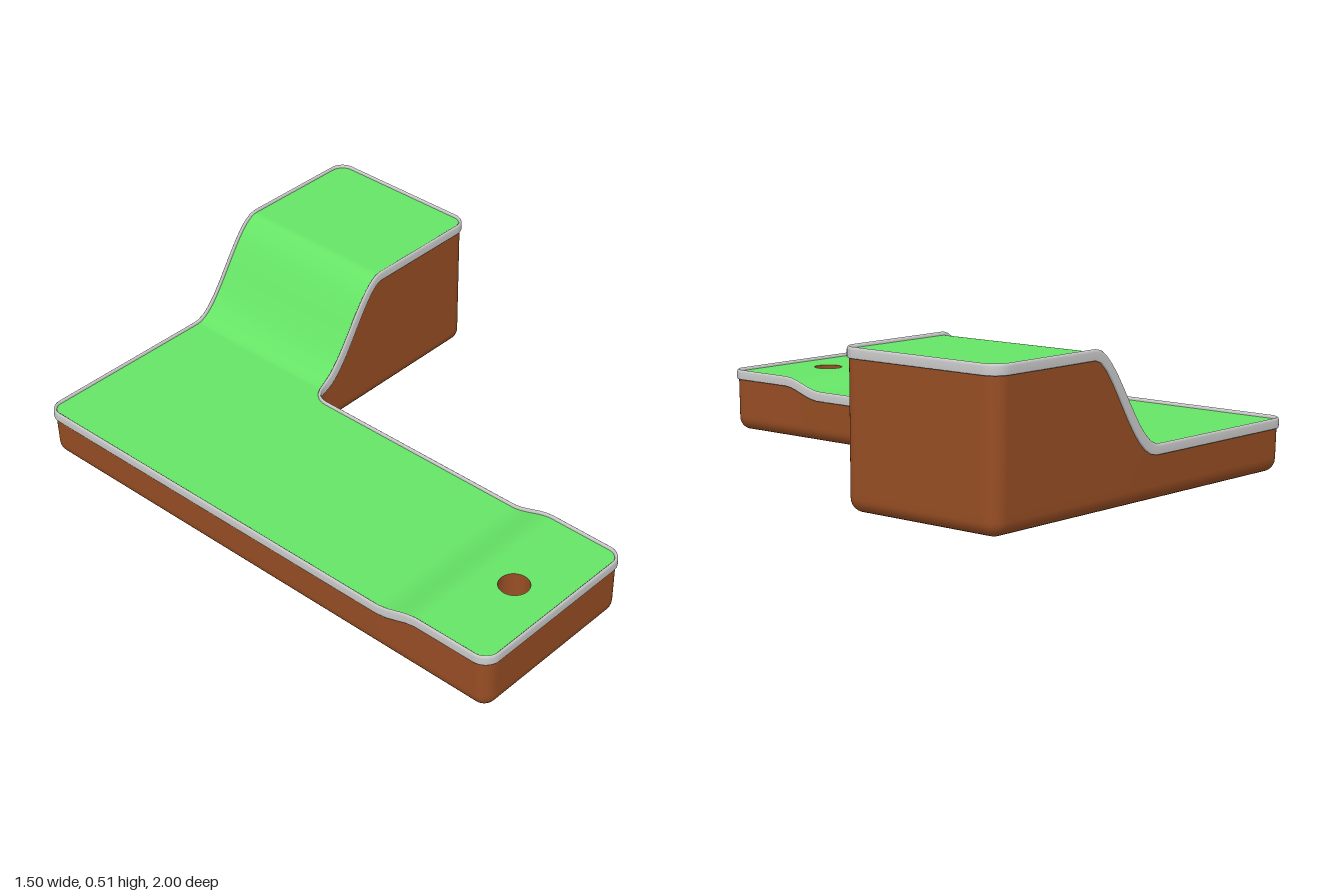
import * as THREE from 'three';

// Main measures: corner radii, lane edge, arm edge, start of the raised end
const R = 0.058, FILLET = 0.07, LANE_X = -0.075, ARM_Z = -0.37, END_Z = 0.71;
const INSET = 0.008, FLOOR_DROP = 0.011, HOLE = [-0.415, 0.825, 0.052];

// Plan corners as [x, -z, radius], counter-clockwise seen from above
const COURSE = [
  [-0.75, -1, R], [LANE_X, -1, R], [LANE_X, -ARM_Z, FILLET],
  [0.75, -ARM_Z, R], [0.75, 1, R], [-0.75, 1, R],
];
const PAD = [
  [-0.75, -1, R], [LANE_X, -1, R],
  [LANE_X, INSET - END_Z, INSET], [-0.75, INSET - END_Z, INSET],
];

// Height of the rim's top: steep ramp along x, small ramp along z
const height = (x, z) =>
  0.185 + 0.33 * THREE.MathUtils.smoothstep(x, -0.04, 0.285) + 0.04 * THREE.MathUtils.smoothstep(z, 0.54, END_Z);

// Stretch factor that keeps the rim equally thick on slopes
function stretch(x, z) {
  const e = 0.004;
  return Math.hypot(1,
    (height(x + e, z) - height(x - e, z)) / (2 * e),
    (height(x, z + e) - height(x, z - e)) / (2 * e));
}

// Rounded outline moved inward by inset; point count is the same for every inset
function outline(corners, inset, arcSteps = 10, edgeSteps = 48) {
  const n = corners.length;
  const dir = (i) => {
    const a = corners[(i + n) % n], b = corners[(i + 1) % n];
    return new THREE.Vector2(b[0] - a[0], b[1] - a[1]).normalize();
  };
  const arcs = corners.map(([x, y, radius], i) => {
    const d0 = dir(i - 1), d1 = dir(i);
    const sign = d0.cross(d1) > 0 ? 1 : -1;
    const n0 = new THREE.Vector2(-d0.y, d0.x), n1 = new THREE.Vector2(-d1.y, d1.x);
    const r = radius - sign * inset;
    const k = inset + sign * r;
    const center = new THREE.Vector2(x, y).addScaledVector(n0, k).addScaledVector(n1, k);
    return Array.from({ length: arcSteps + 1 }, (_, j) => {
      const t = (j / arcSteps) * Math.PI / 2;
      return center.clone()
        .addScaledVector(n0, -sign * r * Math.cos(t))
        .addScaledVector(n1, -sign * r * Math.sin(t));
    });
  });
  const pts = [];
  arcs.forEach((arc, i) => {
    pts.push(...arc);
    const from = arc[arcSteps], to = arcs[(i + 1) % n][0];
    for (let j = 1; j < edgeSteps; j++) pts.push(from.clone().lerp(to, j / edgeSteps));
  });
  return pts;
}

// Surface through rows of equal length
function skin(rows, closed) {
  const n = rows[0].length, index = [];
  for (let j = 0; j < rows.length - 1; j++) {
    for (let i = 0; i < (closed ? n : n - 1); i++) {
      const a = j * n + i, b = j * n + (i + 1) % n, c = b + n, d = a + n;
      index.push(a, b, c, a, c, d);
    }
  }
  const g = new THREE.BufferGeometry();
  g.setAttribute('position', new THREE.Float32BufferAttribute(rows.flat(2), 3));
  g.setIndex(index);
  g.computeVertexNormals();
  return g;
}

// Loop around the course; y comes from a rule
const loop = (inset, y) => outline(COURSE, inset).map((p) => [p.x, y(p.x, -p.y), -p.y]);

// Distance a rounded corner cuts off at depth d from the edge
function cut(d) {
  const r = R - INSET;
  return d >= r ? 0 : r - Math.sqrt(Math.max(0, r * r - (r - d) ** 2));
}

// Values from a to b, denser at both ends
const eased = (a, b, n) => Array.from({ length: n + 1 }, (_, i) =>
  THREE.MathUtils.lerp(a, b, (1 - Math.cos((i / n) * Math.PI)) / 2));

export function createModel() {
  const group = new THREE.Group();
  const green = new THREE.MeshStandardMaterial({ color: 0x66e466 });
  const brown = new THREE.MeshStandardMaterial({ color: 0x984e24 });
  const cupBrown = new THREE.MeshStandardMaterial({ color: 0x984e24, side: THREE.DoubleSide });
  const grey = new THREE.MeshStandardMaterial({ color: 0xcccccc });
  const add = (name, geometry, material) => {
    const mesh = new THREE.Mesh(geometry, material);
    mesh.name = name;
    group.add(mesh);
    return mesh;
  };

  // Body wall with rounded bottom edge
  const wall = [];
  for (let j = 0; j <= 6; j++) {
    const t = (j / 6) * Math.PI / 2;
    wall.push(loop(0.01 + 0.042 * (1 - Math.sin(t)), () => 0.045 * (1 - Math.cos(t))));
  }
  for (const f of [0.05, 0.5, 1]) {
    wall.push(loop(0.01 - 0.003 * f, (x, z) => THREE.MathUtils.lerp(0.045, height(x, z) - 0.02, f)));
  }
  add('bodyWall', skin(wall, true), brown);

  // Underside: the outline mirrored in z so that it faces down
  const base = outline(COURSE, 0.052, 10, 1).map((p) => new THREE.Vector2(p.x, -p.y));
  add('underside', new THREE.ShapeGeometry(new THREE.Shape(base)).rotateX(Math.PI / 2), brown);

  // Rim: rounded strip as [inset, drop from top]
  const section = [
    [0.009, 0.036], [0.002, 0.036], [0, 0.033], [0, 0.009], [0.002, 0.003],
    [0.0055, 0], [0.009, 0.003], [0.011, 0.008], [0.011, 0.022],
  ];
  add('rim', skin(section.map(([inset, drop]) =>
    loop(inset, (x, z) => height(x, z) - drop * stretch(x, z))), true), grey);

  // Playing surface: long lane, then side arm with ramp
  const point = (x, z) => [x, height(x, z) - FLOOR_DROP * stretch(x, z), z];
  const [left, right, back] = [INSET - 0.75, 0.75 - INSET, INSET - 1];
  const split = LANE_X - INSET;
  const lane = eased(back, END_Z, 140).map((z) =>
    [point(split, z), point(left + cut(z - back), z)].reverse());
  add('laneSurface', skin(lane.reverse(), false), green);

  // The arm's front edge starts with the fillet of the inner corner
  const arm = eased(split, right, 140).map((x) => {
    const c = cut(right - x), dx = x - LANE_X - FILLET;
    const front = dx < 0
      ? ARM_Z + FILLET - Math.sqrt(Math.max(0, (FILLET + INSET) ** 2 - dx * dx))
      : ARM_Z - INSET - c;
    return [point(x, back + c), point(x, front)];
  });
  add('armSurface', skin(arm.reverse(), false), green).geometry.index.array.reverse();
  group.children.at(-1).geometry.computeVertexNormals();

  // Raised end pad with the hole and its cup
  const [hx, hz, hr] = HOLE;
  const padY = height(hx, hz) - FLOOR_DROP;
  const pad = new THREE.Shape(outline(PAD, INSET, 10, 1));
  pad.holes.push(new THREE.Path().absarc(hx, -hz, hr, 0, Math.PI * 2, true));
  add('endPad', new THREE.ShapeGeometry(pad, 24).rotateX(-Math.PI / 2).translate(0, padY, 0), green);

  const cup = [[0, 0.1], [hr, 0.1], [hr, 0.1], [hr, padY]].map(([r, y]) => new THREE.Vector2(r, y));
  add('holeCup', new THREE.LatheGeometry(cup, 48), cupBrown).position.set(hx, 0, hz);

  return group;
}
